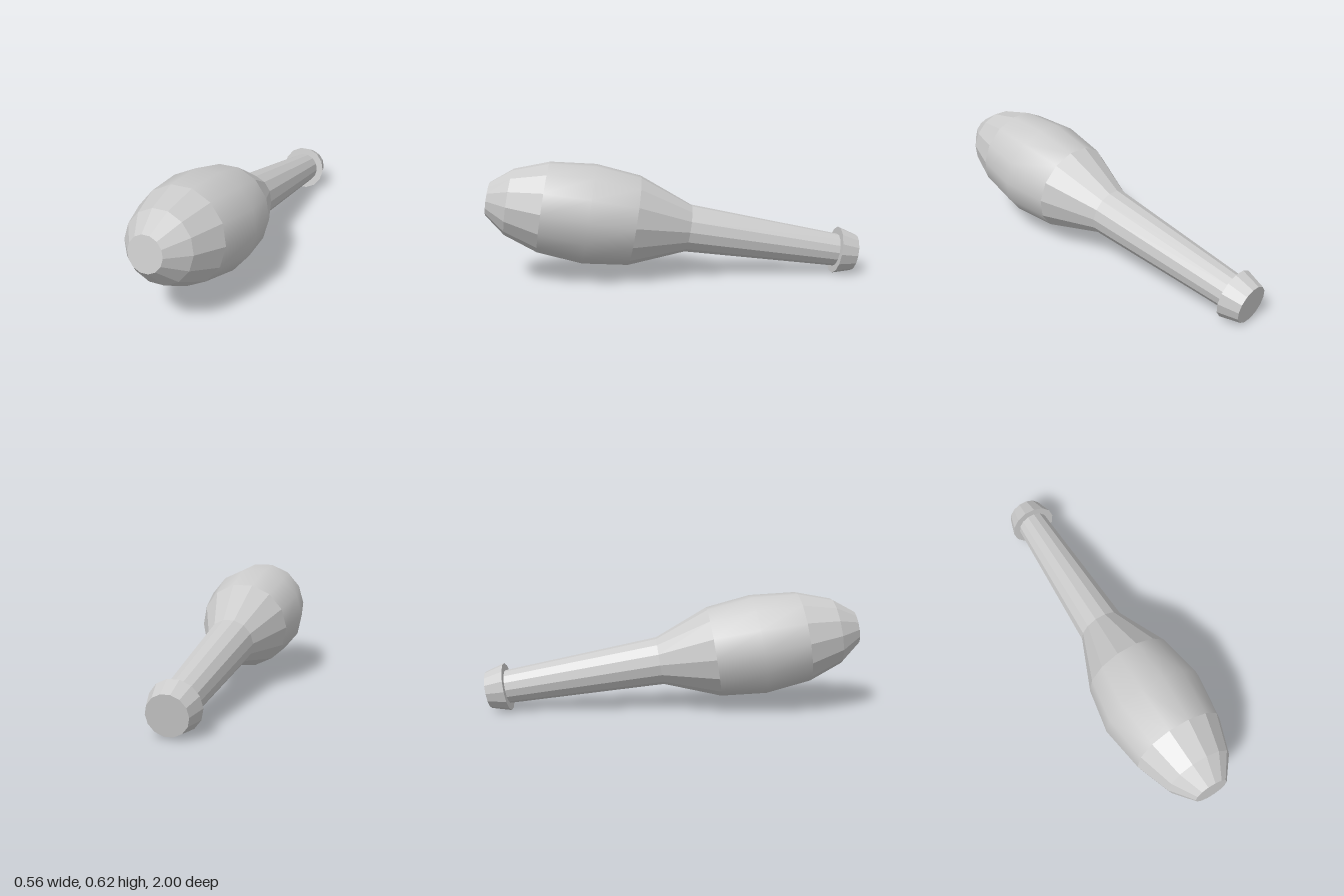
import * as THREE from 'three';

const SIDES = 14;

// Revolves [radius, distance along the axis] pairs, listed from tail to nose
function turned(name, profile, flatShading) {
  const points = profile.map(([r, s]) => new THREE.Vector2(r, s));
  const geometry = new THREE.LatheGeometry(points, SIDES, Math.PI / 2);
  const material = new THREE.MeshStandardMaterial({ color: 0xcccccc, flatShading });
  const mesh = new THREE.Mesh(geometry, material);
  mesh.name = name;
  return mesh;
}

export function createModel() {
  const club = new THREE.Group();
  club.name = 'club';

  // End knob, flared towards the handle
  club.add(turned('knob', [[0, -0.994], [0.0995, -0.994], [0.128, -0.892], [0.0888, -0.892]], true));

  // Tapered handle and the shoulder that widens into the body
  club.add(turned('handle', [[0.0888, -0.892], [0.1275, -0.063]], true));
  club.add(turned('shoulder', [[0.1275, -0.063], [0.241, 0.228]], true));

  // Smooth belly, its widest ring slightly flattened in height
  const belly = turned('belly', [[0.241, 0.228], [0.28, 0.469], [0.241, 0.71]], false);
  const pos = belly.geometry.attributes.position;
  for (let i = 0; i < pos.count; i++) {
    if (Math.abs(pos.getY(i) - 0.469) < 0.01) pos.setZ(i, pos.getZ(i) * 0.95);
  }
  club.add(belly);

  // Faceted nose with a flat tip
  club.add(turned('nose', [[0.241, 0.71], [0.176, 0.889], [0.0885, 0.9987], [0, 0.9987]], true));

  // Lay the club down so that it rests on the knob, nose raised
  club.rotation.x = Math.PI / 2 - THREE.MathUtils.degToRad(9.6);
  club.position.y = 0.272;

  const model = new THREE.Group();
  model.add(club);
  return model;
}
